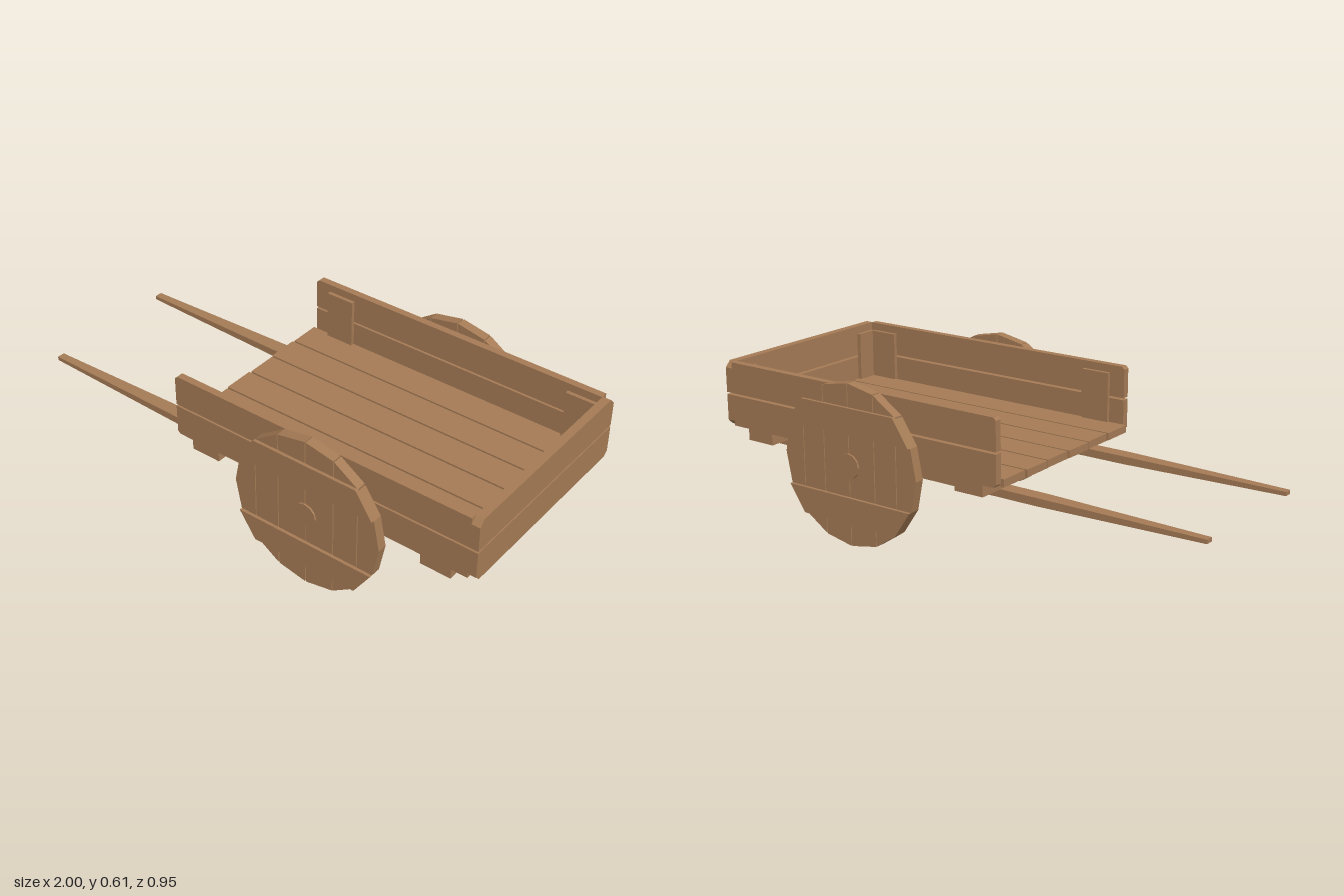
import * as THREE from 'three';

const wood = new THREE.MeshStandardMaterial({ color: 0xa57b55 });
wood.name = 'wood';

function add(parent, name, geometry, x = 0, y = 0, z = 0) {
  const mesh = new THREE.Mesh(geometry, wood);
  mesh.name = name;
  mesh.position.set(x, y, z);
  parent.add(mesh);
  return mesh;
}

// box given by its minimum and maximum on each axis
function box(parent, name, [x0, x1], [y0, y1], [z0, z1]) {
  return add(parent, name, new THREE.BoxGeometry(x1 - x0, y1 - y0, z1 - z0),
    (x0 + x1) / 2, (y0 + y1) / 2, (z0 + z1) / 2);
}

function extrude(points, depth) {
  const shape = new THREE.Shape(points.map(([x, y]) => new THREE.Vector2(x, y)));
  return new THREE.ExtrudeGeometry(shape, { depth, bevelEnabled: false });
}

// board standing in the xy plane, c = [lower left, lower right, upper right, upper left] corner cuts
function board(w, h, depth, c) {
  return extrude([[c[0], 0], [w - c[1], 0], [w, c[1]], [w, h - c[2]],
    [w - c[2], h], [c[3], h], [0, h - c[3]], [0, c[0]]]
    .filter((p, i, a) => i === 0 || p[0] !== a[i - 1][0] || p[1] !== a[i - 1][1]), depth);
}

const R = 0.305, SIDES = 16;
const corners = Array.from({ length: SIDES }, (_, i) => {
  const a = (i / SIDES) * Math.PI * 2;
  return [R * Math.cos(a), R * Math.sin(a)];
});

// half height of the wheel polygon at distance u from its centre
function halfHeight(u) {
  for (let i = 0; i < SIDES / 2; i++) {
    const [x0, y0] = corners[i], [x1, y1] = corners[i + 1];
    if (u <= x0 + 1e-6 && u >= x1 - 1e-6) return Math.max(0, y0 + ((y1 - y0) * (x0 - u)) / (x0 - x1));
  }
  return 0;
}

// strip of the wheel polygon between two parallel cuts
function slice(a, b, depth) {
  const cuts = [a, ...corners.slice(0, 9).map(c => c[0]).filter(u => u > a + 1e-4 && u < b - 1e-4).sort((p, q) => p - q), b];
  const lower = cuts.map(u => [u, -halfHeight(u)]);
  const upper = cuts.map(u => [u, halfHeight(u)]).reverse();
  const points = [...lower, ...upper].filter(([u, v], i, all) => {
    const n = all[(i + 1) % all.length];
    return Math.hypot(u - n[0], v - n[1]) > 1e-5;
  });
  return extrude(points, depth);
}

// wheel of six planks, two battens and a hub, facing +z
function makeWheel() {
  const wheel = new THREE.Group();
  const seams = [-R, -0.216, -0.117, 0, 0.117, 0.216, R];
  for (let i = 0; i < 6; i++) {
    const a = seams[i] + (i > 0 ? 0.002 : 0), b = seams[i + 1] - (i < 5 ? 0.002 : 0);
    add(wheel, 'wheelPlank', slice(a, b, 0.038), 0, 0, 0.425);
  }
  for (const a of [-0.218, 0.118]) {
    add(wheel, 'wheelBatten', slice(a, a + 0.1, 0.013).rotateZ(Math.PI / 2), 0, 0, 0.462);
  }
  const hub = new THREE.CylinderGeometry(0.047, 0.047, 0.057, 12).toNonIndexed();
  hub.computeVertexNormals();
  add(wheel, 'hub', hub.rotateX(Math.PI / 2), 0, 0, 0.4415);
  return wheel;
}

// straight beam under the bed that tapers to a thin grip
function shaftGeometry() {
  const geometry = new THREE.BoxGeometry(2, 0.03, 0.058, 2, 1, 1);
  const p = geometry.attributes.position;
  for (let i = 0; i < p.count; i++) {
    const x = p.getX(i);
    if (x < -0.5) p.setXYZ(i, -1, p.getY(i) * 0.5, p.getZ(i) * 0.52);
    else p.setX(i, x < 0.5 ? -0.35 : 0.84);
  }
  const flat = geometry.toNonIndexed();
  flat.computeVertexNormals();
  return flat;
}

export function createModel() {
  const cart = new THREE.Group();
  cart.name = 'handCart';

  // bed planks
  const bed = new THREE.Group();
  bed.name = 'bed';
  cart.add(bed);
  for (let i = 0; i < 6; i++) {
    const z = -0.387 + i * 0.1295;
    box(bed, 'bedPlank', [-0.275 - (i % 2) * 0.004, 0.964], [0.332, 0.36], [z, z + 0.122]);
  }

  // cross beams and axle
  for (const x of [-0.2, 0.78]) box(cart, 'crossBeam', [x, x + 0.12], [0.286, 0.332], [-0.408, 0.408]);
  add(cart, 'axle', new THREE.CylinderGeometry(0.018, 0.018, 0.86, 8).rotateX(Math.PI / 2), 0.35, 0.31, 0);

  // two rows of wall boards, cut at their outer corners
  const rows = [[0.333, 0.119, 0], [0.46, 0.12, 1]];
  for (const [y, h, top] of rows) {
    for (const z of [-0.416, 0.388]) {
      add(cart, 'sideBoard', board(1.228, h, 0.028, top ? [0, 0, 0, 0.01] : [0.01, 0, 0, 0]), -0.262, y, z);
    }
    const cut = top ? [0, 0, 0.024, 0.024] : [0.018, 0.018, 0, 0];
    const end = add(cart, 'endBoard', board(0.832, h, 0.032, cut), 0.966, y, 0.416);
    end.rotation.y = Math.PI / 2;
  }

  for (const side of [-1, 1]) {
    const span = (a, b) => (side > 0 ? [a, b] : [-b, -a]);
    // upright cleats joining the wall boards
    for (const x of [-0.2, 0.835]) box(cart, 'sideCleat', [x, x + 0.115], [0.36, 0.55], span(0.373, 0.389));
    box(cart, 'endCleat', [0.95, 0.967], [0.36, 0.55], span(0.295, 0.385));

    // pulling shafts
    add(cart, 'shaft', shaftGeometry(), 0, 0.272, side * 0.278);

    // wheels
    const wheel = makeWheel();
    wheel.name = side > 0 ? 'frontWheel' : 'backWheel';
    wheel.position.set(0.35, 0.305, 0);
    if (side < 0) wheel.rotation.y = Math.PI;
    wheel.position.y = R;
    cart.add(wheel);
  }
  return cart;
}
